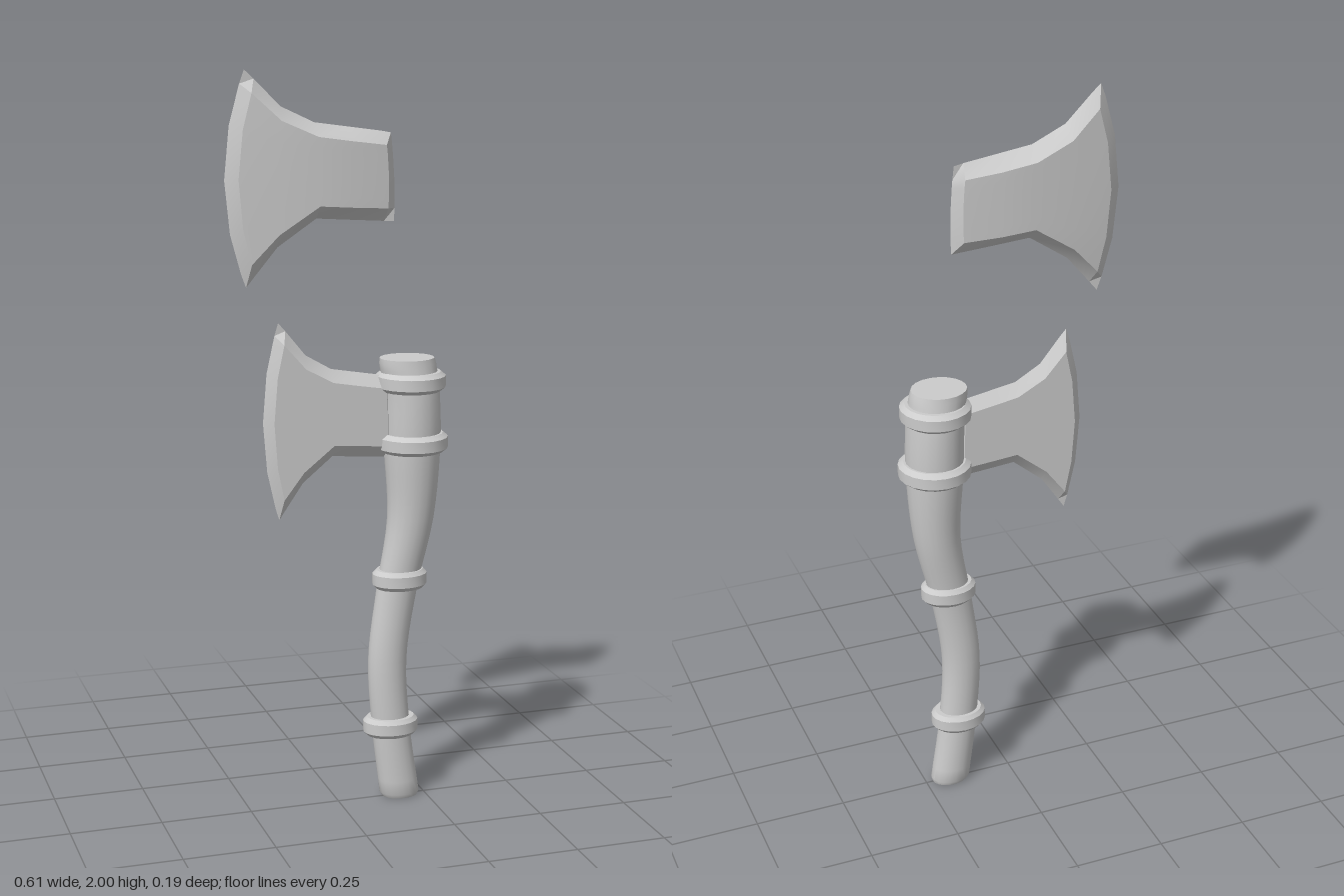
import * as THREE from 'three';
import { mergeGeometries, toCreasedNormals } from 'three/addons/utils/BufferGeometryUtils.js';

const material = new THREE.MeshStandardMaterial({ color: 0xcccccc });
const SIDES = 20;

// Skin a grid of points (rows of equal length) with quads
function gridGeometry(rows) {
  const index = [], n = rows[0].length;
  for (let i = 0; i < rows.length - 1; i++) {
    for (let j = 0; j < n - 1; j++) {
      const a = i * n + j, b = a + n;
      index.push(a, b, b + 1, a, b + 1, a + 1);
    }
  }
  const geometry = new THREE.BufferGeometry();
  geometry.setAttribute('position', new THREE.Float32BufferAttribute(rows.flat(2), 3));
  geometry.setIndex(index);
  return geometry;
}

// Stack elliptical sections [centre x, y, radius x, radius z], closed at both ends
function loft(sections) {
  const first = sections[0], last = sections[sections.length - 1];
  const all = [[first[0], first[1], 0, 0], ...sections, [last[0], last[1], 0, 0]];
  return toCreasedNormals(gridGeometry(all.map(([x, y, rx, rz]) => {
    const ring = [];
    for (let j = 0; j <= SIDES; j++) {
      const a = (j % SIDES) / SIDES * Math.PI * 2;
      ring.push([x + rx * Math.cos(a), y, rz * Math.sin(a)]);
    }
    return ring;
  })), 0.6);
}

// Axe head outline in columns: top x, top y, bottom x, bottom y, bow to the left
const headColumns = [
  [-0.25, 2.0, -0.25, 1.445, 0.055],
  [-0.225, 1.977, -0.228, 1.472, 0.047],
  [-0.155, 1.907, -0.165, 1.547, 0.015],
  [-0.065, 1.865, -0.06, 1.618, 0],
  [0.03, 1.852, 0.03, 1.612, 0],
  [0.118, 1.84, 0.125, 1.606, -0.008],
  [0.143, 1.835, 0.153, 1.604, -0.005],
];

// Two bevelled faces meeting in a ridge all around; depths = half thickness per column
function headGeometry(depths) {
  const face = (side) => gridGeometry(headColumns.map(([tx, ty, bx, by, bow], i) => {
    const inset = 0.035 / (ty - by);
    const steps = [0, inset, 0.25, 0.5, 0.75, 1 - inset, 1];
    const column = steps.map((v, j) => [
      bx + (tx - bx) * v - bow * 4 * v * (1 - v),
      by + (ty - by) * v,
      j === 0 || j === steps.length - 1 ? 0 : side * depths[i],
    ]);
    return side > 0 ? column : column.reverse();
  }));
  return toCreasedNormals(mergeGeometries([face(1), face(-1)]), 0.5);
}

export function createModel() {
  const model = new THREE.Group();
  const add = (name, geometry) => {
    const mesh = new THREE.Mesh(geometry, material);
    mesh.name = name;
    model.add(mesh);
    return mesh;
  };

  // Curved handle, swelling towards the head
  const stations = [
    [0.178, 0.012, 0.056, 0.043], [0.153, 0.2, 0.054, 0.042], [0.141, 0.4, 0.054, 0.042],
    [0.167, 0.6, 0.057, 0.043], [0.205, 0.8, 0.064, 0.058], [0.208, 1.0, 0.077, 0.075],
    [0.204, 1.15, 0.077, 0.077], [0.194, 1.225, 0.077, 0.069],
  ];
  const path = new THREE.CatmullRomCurve3(stations.map(([x, y, rx]) => new THREE.Vector3(x, y, rx)), false, 'catmullrom');
  const depth = new THREE.CatmullRomCurve3(stations.map((s) => new THREE.Vector3(s[3], 0, 0)), false, 'catmullrom');
  const sections = [[0.18, 0, 0.05, 0.037]];
  for (let i = 0; i <= 35; i++) {
    const p = path.getPoint(i / 35);
    sections.push([p.x, p.y, p.z, depth.getPoint(i / 35).x]);
  }
  sections.push([0.192, 1.24, 0.074, 0.067]);
  add('handle', loft(sections));

  // Chamfered collars: x, y, radius x, radius z
  const collars = [
    [0.151, 0.21, 0.077, 0.06], [0.175, 0.63, 0.076, 0.06],
    [0.208, 1.01, 0.097, 0.096], [0.203, 1.177, 0.094, 0.095],
  ];
  collars.forEach(([x, y, rx, rz], i) => {
    const profile = [[-0.026, 0.86], [-0.015, 1], [0.015, 1], [0.026, 0.86]];
    add('collar' + (i + 1), loft(profile.map(([dy, k]) => [x, y + dy, rx * k, rz * k])));
  });

  // Loose head floating above, with bulging cheeks
  add('upperAxeHead', headGeometry([0, 0.025, 0.036, 0.041, 0.04, 0.027, 0]));

  // Flatter, smaller head set into the handle
  const lower = add('lowerAxeHead', headGeometry([0, 0.025, 0.025, 0.025, 0.025, 0.025, 0]));
  lower.scale.set(0.78, 0.957, 1);
  lower.position.set(0.03, -0.565, 0);

  return model;
}
